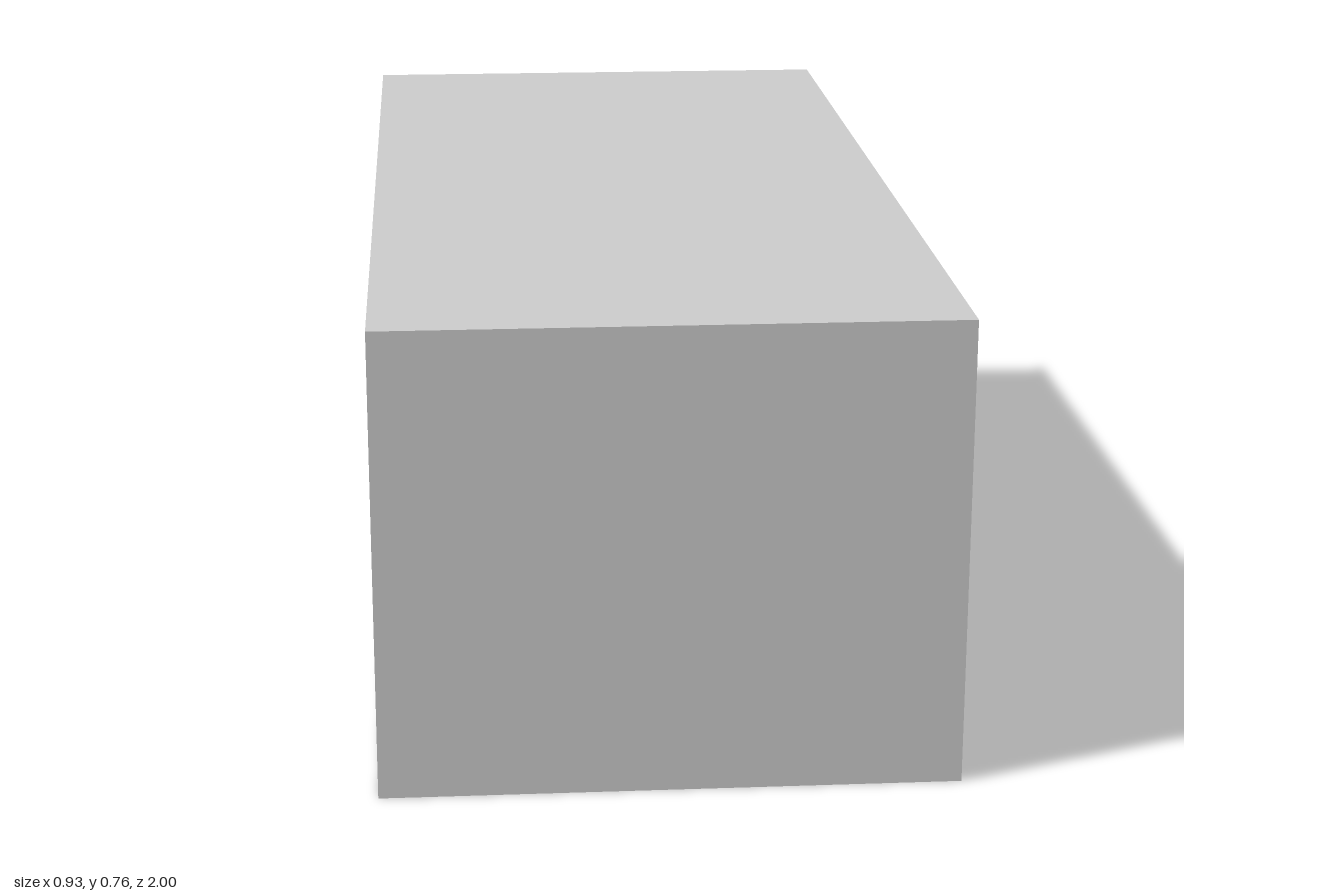
import * as THREE from 'three';

const WIDTH = 0.926, HEIGHT = 0.764;

// Rectangle outline from opposite corners, added to a Shape or Path
function rect(path, u0, v0, u1, v1) {
  path.moveTo(u0, v0);
  path.lineTo(u1, v0);
  path.lineTo(u1, v1);
  path.lineTo(u0, v1);
  path.closePath();
  return path;
}

export function createModel() {
  const group = new THREE.Group();
  group.name = 'cubbyShelf';

  // Side outline; u runs from the front (-1) to the back (+1)
  const side = rect(new THREE.Shape(), -1, 0, 1, HEIGHT);

  // Two rows of four open compartments, with slightly uneven dividers
  const columns = [[-0.92, -0.53], [-0.45, -0.053], [0.038, 0.445], [0.515, 0.917]];
  const rows = [[0.081, 0.343], [0.425, 0.686]];
  for (const [u0, u1] of columns) {
    for (const [v0, v1] of rows) {
      side.holes.push(rect(new THREE.Path(), u0, v0, u1, v1));
    }
  }

  // Extrude across the width and turn so the compartments run along x
  const geometry = new THREE.ExtrudeGeometry(side, { depth: WIDTH, bevelEnabled: false });
  geometry.translate(0, 0, -WIDTH / 2);
  geometry.rotateY(Math.PI / 2);

  const frame = new THREE.Mesh(geometry, new THREE.MeshStandardMaterial({ color: 0xcccccc }));
  frame.name = 'shelfFrame';
  group.add(frame);
  return group;
}
